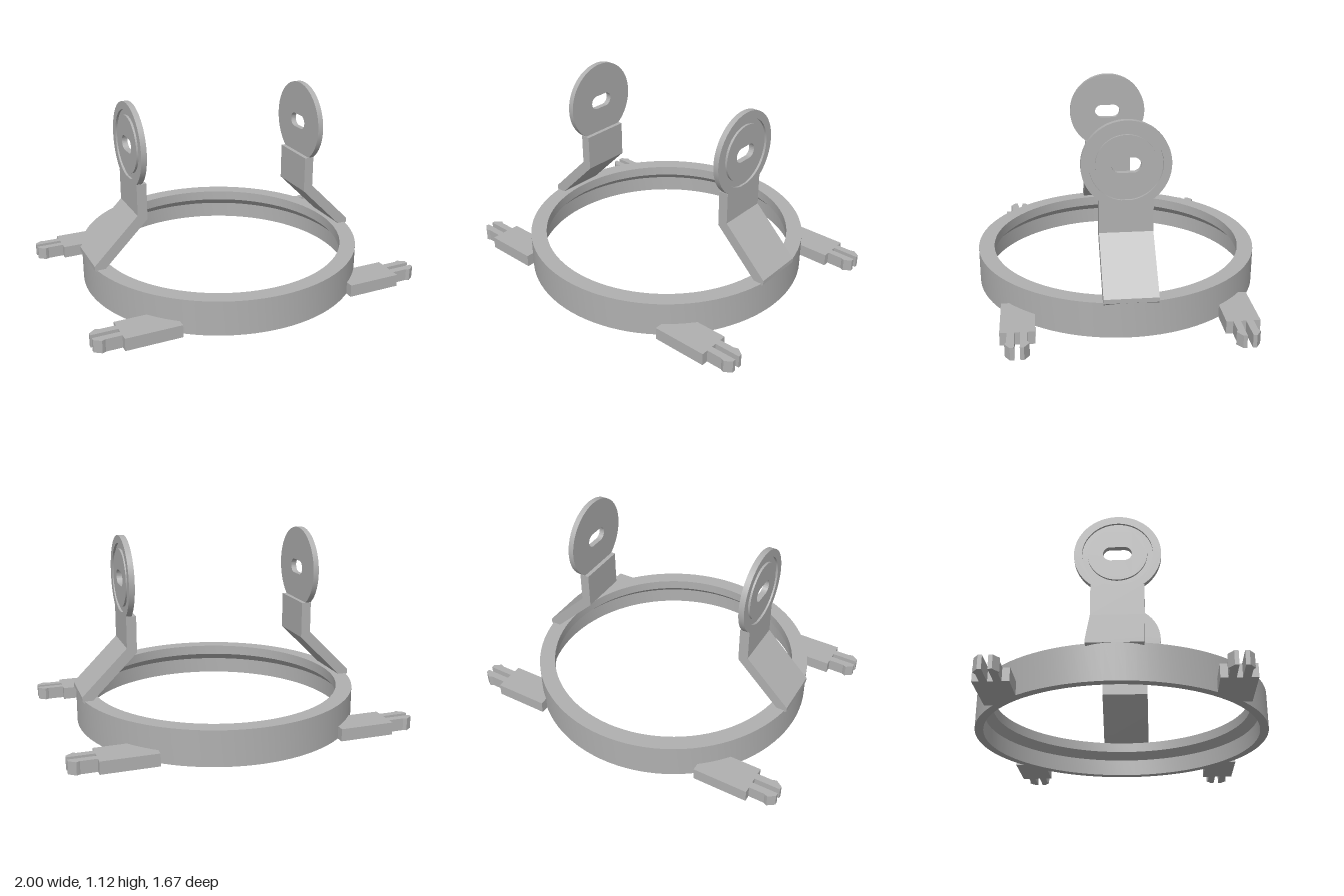
import * as THREE from 'three';
import { toCreasedNormals } from 'three/addons/utils/BufferGeometryUtils.js';

const grey = new THREE.MeshStandardMaterial({ color: 0xb0b0b0 });
grey.name = 'grey';

function part(name, geometry) {
  const mesh = new THREE.Mesh(toCreasedNormals(geometry, 0.5), grey);
  mesh.name = name;
  return mesh;
}

const polygon = (points) => new THREE.Shape(points.map(([x, y]) => new THREE.Vector2(x, y)));

function extrude(shape, depth) {
  return new THREE.ExtrudeGeometry(shape, { depth, bevelEnabled: false, curveSegments: 48 });
}

// Round-ended slot, lying across the disc
function slot() {
  const path = new THREE.Path();
  path.absarc(0.038, 0, 0.042, -Math.PI / 2, Math.PI / 2);
  path.absarc(-0.038, 0, 0.042, Math.PI / 2, Math.PI * 1.5);
  path.closePath();
  return path;
}

// Disc layer facing x, from x0 to x1
function discLayer(name, radius, hole, x0, x1) {
  const shape = new THREE.Shape();
  shape.absarc(0, 0, radius, 0, Math.PI * 2);
  shape.holes.push(hole);
  const geometry = extrude(shape, x1 - x0);
  geometry.rotateY(Math.PI / 2).translate(x0, 0.876, 0);
  return part(name, geometry);
}

// Bent arm carrying a slotted disc with a ring groove on its outer face
function createBracket() {
  const group = new THREE.Group();
  const arm = extrude(polygon([
    [0.835, 0.205], [0.835, 0.23], [0.57, 0.495], [0.57, 0.68],
    [0.512, 0.68], [0.512, 0.465], [0.775, 0.202], [0.81, 0.18],
  ]), 0.296);
  arm.translate(0, 0, -0.148);
  group.add(part('arm', arm));

  const bore = new THREE.Path();
  bore.absarc(0, 0, 0.198, 0, Math.PI * 2);
  group.add(
    discLayer('discPlate', 0.243, slot(), 0.537, 0.557),
    discLayer('discRim', 0.243, bore, 0.557, 0.57),
    discLayer('discCentre', 0.166, slot(), 0.557, 0.57),
  );
  return group;
}

// Flat tab with two barbed prongs, mirrored by sx and sz
function createClip(sx, sz) {
  const group = new THREE.Group();
  const add = (name, points) => {
    const geometry = extrude(polygon(points.map(([x, z]) => [x * sx, z * sz])), 0.073);
    geometry.rotateX(Math.PI / 2).translate(0, 0.073, 0);
    group.add(part(name, geometry));
  };
  add('tab', [[0.525, 0.694], [0.525, 0.62], [0.625, 0.508], [0.848, 0.508], [0.848, 0.694]]);
  for (const side of [-1, 1]) {
    add('prong', [
      [0.845, 0.015], [1, 0.015], [1, 0.036], [0.96, 0.064],
      [0.945, 0.058], [0.94, 0.055], [0.845, 0.055],
    ].map(([x, z]) => [x, 0.601 + side * z]));
  }
  return group;
}

export function createModel() {
  const model = new THREE.Group();
  model.name = 'ringMount';

  // Ring with an inner lip and chamfer near the top
  const profile = [
    [0.787, 0], [0.835, 0], [0.835, 0.205], [0.742, 0.205],
    [0.742, 0.145], [0.787, 0.1], [0.787, 0],
  ].map(([x, y]) => new THREE.Vector2(x, y));
  model.add(part('ring', new THREE.LatheGeometry(profile, 96)));

  for (const sx of [1, -1]) {
    const bracket = createBracket();
    bracket.name = sx > 0 ? 'leftBracket' : 'rightBracket';
    bracket.rotation.y = sx > 0 ? 0 : Math.PI;
    model.add(bracket);

    for (const sz of [1, -1]) {
      const clip = createClip(sx, sz);
      clip.name = (sz > 0 ? 'front' : 'back') + (sx > 0 ? 'LeftClip' : 'RightClip');
      model.add(clip);
    }
  }
  return model;
}
